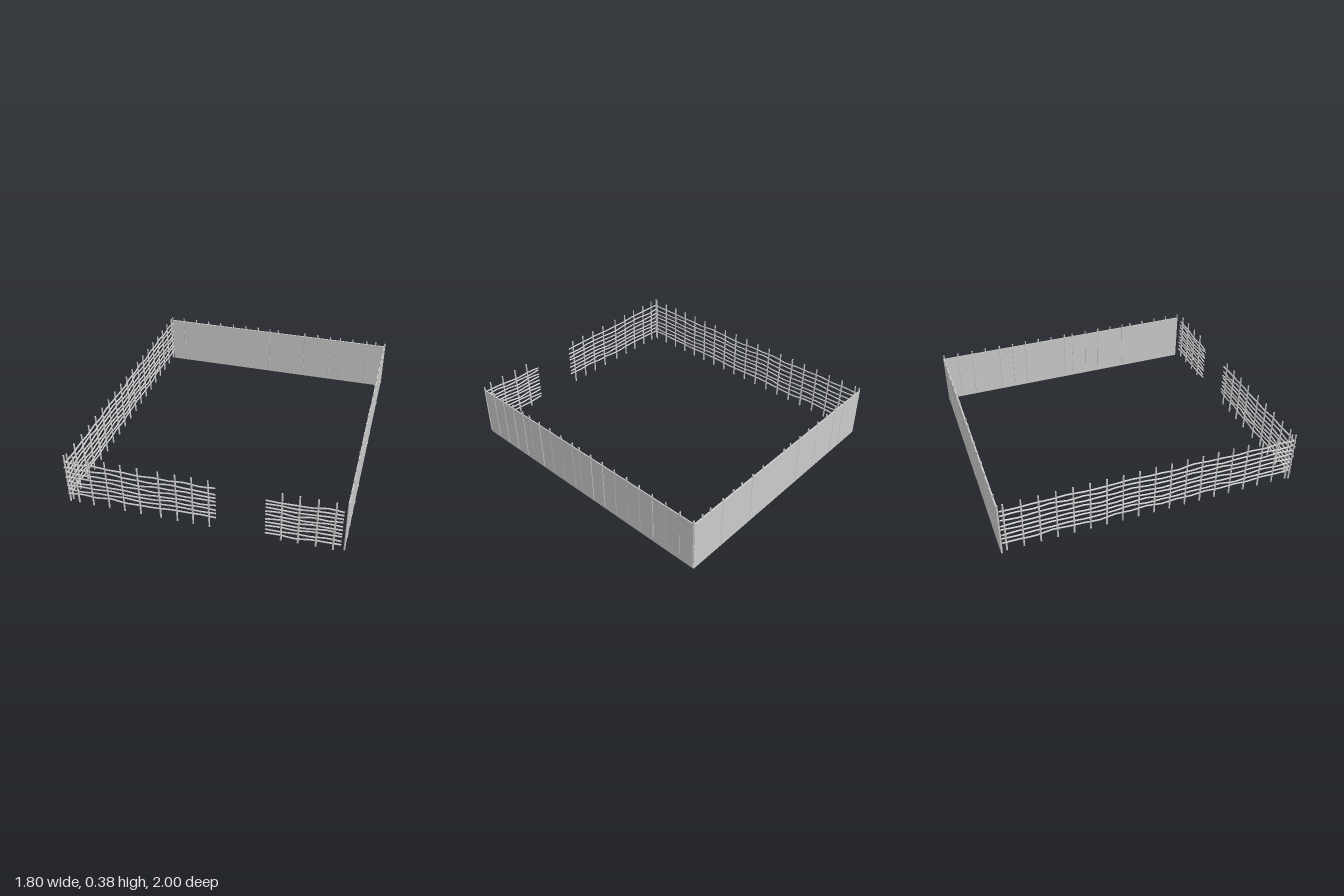
import * as THREE from 'three';

const mat = new THREE.MeshStandardMaterial({ color: 0xcccccc, flatShading: true });

// Small seeded generator for natural irregularity
let seed = 7;
const jitter = (a) => {
  seed = (seed * 16807) % 2147483647;
  return (seed / 2147483647 - 0.5) * 2 * a;
};

function addMesh(parent, geometry, name) {
  const mesh = new THREE.Mesh(geometry, mat);
  mesh.name = name;
  parent.add(mesh);
  return mesh;
}

// Row of thin upright stakes; each run lies along local x
function addPosts(parent, positions, offset = 0) {
  for (const x of positions) {
    const post = addMesh(parent, new THREE.CylinderGeometry(0.0055, 0.0062, 0.368, 6), 'post');
    post.position.set(x, 0.201, offset);
    post.rotation.y = jitter(1);
  }
}

// Woven run: bent rods passing alternately either side of the posts
function wattleRun(name, x0, x1, posts, startRows, endRows) {
  const run = new THREE.Group();
  run.name = name;
  addPosts(run, posts);
  const steps = Math.round((x1 - x0) / 0.107) + 1;
  startRows.forEach((y0, row) => {
    const points = [];
    for (let i = 0; i <= steps; i++) {
      const t = i / steps;
      const x = x0 + (x1 - x0) * t;
      const sway = 0.006 * Math.sin(x * 13 + 3.5) * Math.sin(Math.PI * t);
      const y = THREE.MathUtils.lerp(y0, endRows[row], t) + sway + jitter(0.004);
      points.push(new THREE.Vector3(x, y, (i + row) % 2 ? 0.003 : -0.003));
    }
    const curve = new THREE.CatmullRomCurve3(points);
    addMesh(run, new THREE.TubeGeometry(curve, steps * 2, 0.0055, 6), 'rod');
    // End caps
    [0, 1].forEach((end) => {
      const cap = addMesh(run, new THREE.CircleGeometry(0.0055, 6), 'rodEnd');
      const p = points[end ? steps : 0];
      cap.position.copy(p);
      const dir = curve.getTangent(end).multiplyScalar(end ? 1 : -1);
      cap.quaternion.setFromUnitVectors(new THREE.Vector3(0, 0, 1), dir);
    });
  });
  return run;
}

// Solid run: a smooth daubed panel with stakes buried in it
function panelRun(name, x0, x1, thickness, posts, outerPosts) {
  const run = new THREE.Group();
  run.name = name;
  const panel = addMesh(run, new THREE.BoxGeometry(x1 - x0, 0.36, thickness), 'panel');
  panel.position.set((x0 + x1) / 2, 0.18, 0);
  addPosts(run, posts, -0.0005);
  addPosts(run, outerPosts, 0.002);
  return run;
}

const series = (start, step, n) => Array.from({ length: n }, (_, i) => start + step * i);

export function createModel() {
  seed = 7;
  const fence = new THREE.Group();
  fence.name = 'fence';

  // Front runs on either side of the gateway
  const frontLeft = wattleRun('frontLongWattle', -0.9, 0.095,
    [-0.892, -0.83, -0.73, -0.62, -0.515, -0.405, -0.27, -0.16, -0.055, 0.05],
    [0.33, 0.29, 0.25, 0.215, 0.178, 0.145, 0.112, 0.08],
    [0.33, 0.288, 0.258, 0.228, 0.195, 0.165, 0.135, 0.1]);
  frontLeft.position.z = 0.987;
  const frontRight = wattleRun('frontShortWattle', 0.405, 0.872,
    [0.505, 0.61, 0.72, 0.825],
    [0.312, 0.284, 0.255, 0.228, 0.2, 0.17, 0.14, 0.11, 0.08, 0.05],
    [0.328, 0.298, 0.27, 0.24, 0.213, 0.185, 0.157, 0.13, 0.098, 0.066]);
  frontRight.position.z = 0.985;
  fence.add(frontLeft, frontRight);

  // Long woven side, turned so local x runs towards the front
  const side = wattleRun('sideWattle', -0.985, 0.985, series(-0.96, 0.107, 19),
    [0.335, 0.298, 0.26, 0.222, 0.185, 0.15, 0.115, 0.08],
    [0.33, 0.292, 0.255, 0.218, 0.18, 0.146, 0.112, 0.08]);
  side.rotation.y = -Math.PI / 2;
  side.position.x = -0.883;
  fence.add(side);

  // Back panel, outer face turned to -z
  const back = panelRun('backWall', -0.893, 0.885, 0.01,
    [-0.82, -0.75, -0.54, -0.46, -0.25, -0.03, 0.04, 0.245, 0.46, 0.78, 0.88],
    [-0.64, -0.355, 0.14, 0.35, 0.565, 0.672]);
  back.rotation.y = Math.PI;
  back.position.z = -0.993;
  fence.add(back);

  // Side panel, outer face turned to +x
  const right = panelRun('sideWall', -0.96, 0.996, 0.007,
    [-0.465, -0.255, -0.145, -0.035, 0.03, 0.35, 0.455, 0.56, 0.775, 0.885],
    [-0.96, -0.855, -0.75, -0.64, -0.535, -0.36, 0.14, 0.245, 0.67, 0.99]);
  right.rotation.y = Math.PI / 2;
  right.position.x = 0.89;
  fence.add(right);

  return fence;
}
